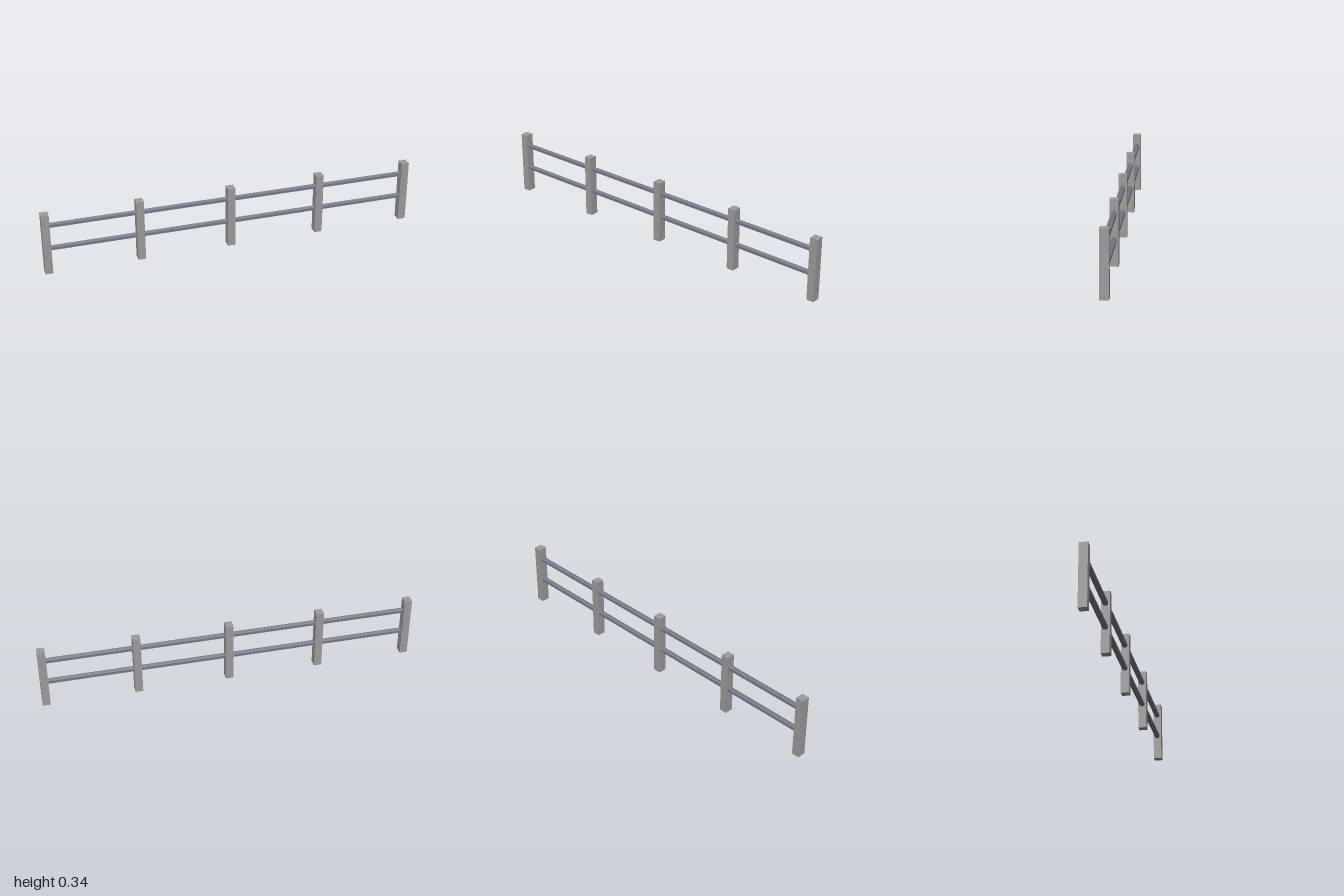
import * as THREE from 'three';

export function createModel() {
  const model = new THREE.Group();
  model.name = 'fence';

  const postMaterial = new THREE.MeshStandardMaterial({ color: 0x9c9c9c });
  postMaterial.name = 'post grey';
  const railMaterial = new THREE.MeshStandardMaterial({ color: 0x777b88, flatShading: true });
  railMaterial.name = 'rail blue grey';

  const postHeight = 0.342, postSpacing = 0.49;

  // Five evenly spaced square posts
  const postGeometry = new THREE.BoxGeometry(0.041, postHeight, 0.045);
  for (let i = -2; i <= 2; i++) {
    const post = new THREE.Mesh(postGeometry, postMaterial);
    post.name = 'post' + (i + 3);
    post.position.set(i * postSpacing, postHeight / 2, 0);
    model.add(post);
  }

  // Two hexagonal rails, ridge upwards, running between the end posts
  const railGeometry = new THREE.CylinderGeometry(0.015, 0.015, postSpacing * 4, 6, 1, false, Math.PI / 2);
  railGeometry.rotateZ(Math.PI / 2);
  for (const [name, y] of [['lowerRail', 0.14], ['upperRail', 0.273]]) {
    const rail = new THREE.Mesh(railGeometry, railMaterial);
    rail.name = name;
    rail.position.y = y;
    model.add(rail);
  }

  return model;
}
